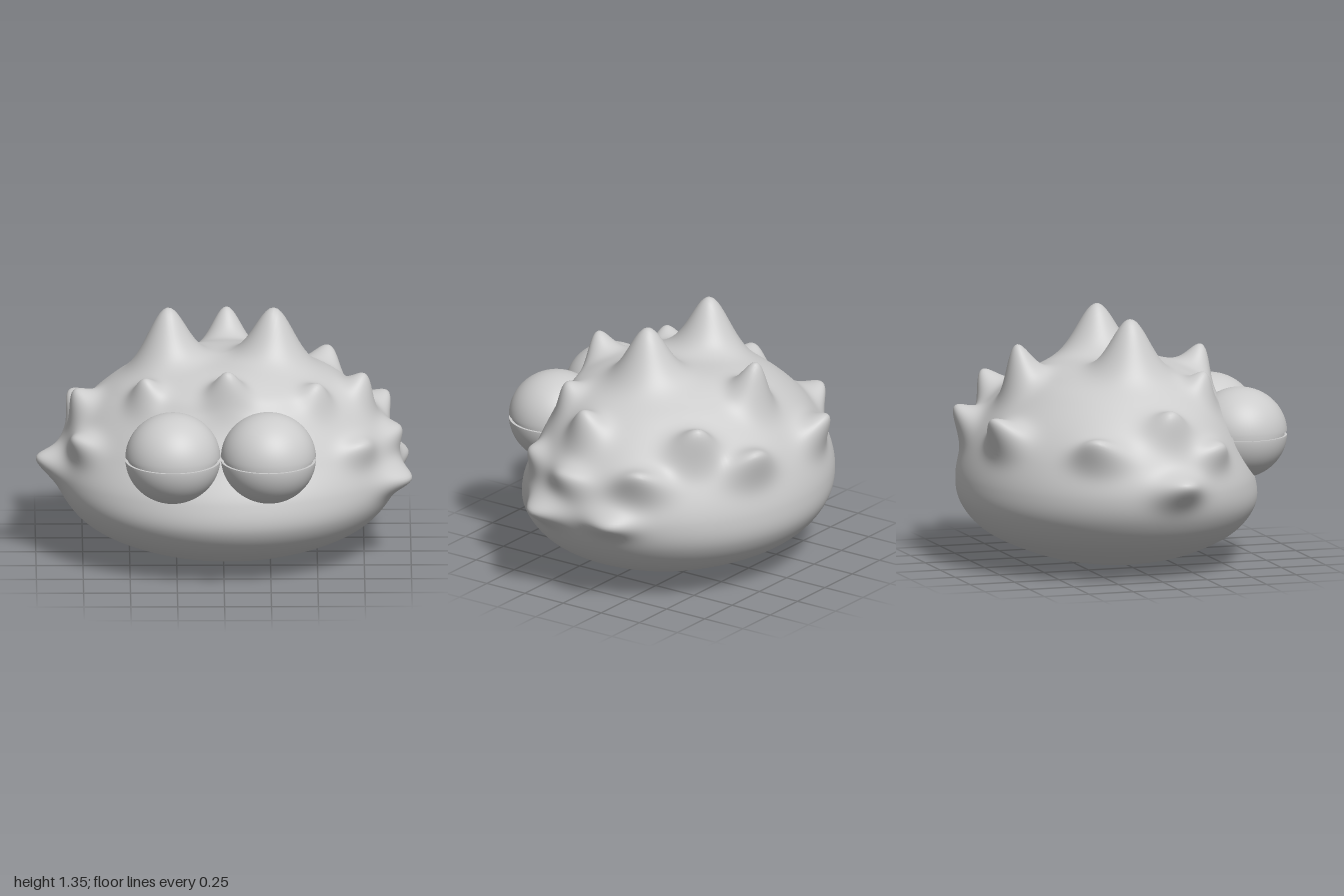
import * as THREE from 'three';
import { mergeVertices } from 'three/addons/utils/BufferGeometryUtils.js';

const MID_X = 0.022, MID_Z = -0.03;

// Body rows from top to bottom: half width, height, depth to front, depth to back
const ROWS = [
  [0, 1.09, 0, 0], [0.3, 1.075, 0.29, 0.29], [0.53, 1.0, 0.475, 0.46],
  [0.67, 0.91, 0.55, 0.58], [0.79, 0.79, 0.605, 0.69], [0.88, 0.64, 0.67, 0.775],
  [0.92, 0.47, 0.745, 0.82], [0.875, 0.32, 0.755, 0.8], [0.745, 0.18, 0.65, 0.68],
  [0.52, 0.075, 0.45, 0.46], [0.26, 0.015, 0.23, 0.23], [0, 0, 0, 0],
];

// Spikes: tip x, y, z, spread sideways, spread in height, and how far below the tip the root is sought
const SPIKES = [
  [-0.3, 1.35, -0.03, 0.1, 0.1, 0.28], [0.27, 1.35, -0.03, 0.1, 0.1, 0.28], // big horns
  [0.02, 1.19, -0.57, 0.075, 0.075, 0.16], [0.02, 1.14, 0.48, 0.065, 0.065, 0.1], // middle pair
  [-0.43, 1.06, 0.35, 0.06, 0.06, 0.08], [0.51, 1.025, 0.34, 0.06, 0.06, 0.06], // shoulders
  [-0.8, 0.91, 0.04, 0.075, 0.06, 0.07], [0.76, 1.0, 0.05, 0.075, 0.06, 0.08],
  [0.57, 0.97, -0.58, 0.08, 0.06, 0.08],
  [-0.8, 0.72, 0.32, 0.08, 0.05, 0.03], [0.76, 0.71, 0.4, 0.08, 0.05, 0.02], // upper ring
  [0.95, 0.7, 0.05, 0.095, 0.05, 0.02], [0.88, 0.77, -0.4, 0.09, 0.05, 0.04],
  [-0.82, 0.78, -0.4, 0.09, 0.05, 0.05],
  [-0.3, 0.84, -0.81, 0.095, 0.055, 0.06], [0.34, 0.82, -0.81, 0.095, 0.055, 0.06],
  [-1.0, 0.545, 0.07, 0.09, 0.055, 0.02], [1.0, 0.47, 0.22, 0.1, 0.05, 0.0], // lower ring
  [0.985, 0.48, -0.27, 0.1, 0.05, 0.0],
];

function makeBody() {
  const curve = (k) => new THREE.CatmullRomCurve3(
    ROWS.map((r) => new THREE.Vector3(r[0], r[1], r[k])), false, 'catmullrom');
  const front = curve(2), back = curve(3);
  const cols = 240, rows = 150;
  const geo = new THREE.SphereGeometry(1, cols, rows);
  const pos = geo.attributes.position;
  const base = [];

  // Wrap the sphere around the rows, with a half ellipse in front and behind
  const f = new THREE.Vector3(), b = new THREE.Vector3();
  for (let i = 0; i < pos.count; i++) {
    const t = Math.floor(i / (cols + 1)) / rows;
    const a = ((i % (cols + 1)) % cols) / cols * Math.PI * 2;
    front.getPoint(t, f);
    back.getPoint(t, b);
    const s = Math.sin(a);
    base.push(new THREE.Vector3(
      MID_X - Math.cos(a) * f.x, f.y, MID_Z + s * (s > 0 ? f.z : b.z)));
  }

  // Pull each spike out of the skin with a bell-shaped falloff
  const out = base.map((p) => p.clone());
  for (const [x, y, z, side, height, drop] of SPIKES) {
    const tip = new THREE.Vector3(x, y, z);
    const seek = new THREE.Vector3(x, y - drop, z);
    let root = base[0];
    for (const p of base) {
      if (p.distanceToSquared(seek) < root.distanceToSquared(seek)) root = p;
    }
    const pull = tip.sub(root);
    base.forEach((p, i) => {
      const h = Math.hypot(p.x - root.x, p.z - root.z) / side;
      const v = (p.y - root.y) / height;
      out[i].addScaledVector(pull, Math.exp(-(h * h + v * v) / 2));
    });
  }
  out.forEach((p, i) => pos.setXYZ(i, p.x, p.y, p.z));

  // Weld the seam so the shading stays smooth
  geo.deleteAttribute('uv');
  geo.deleteAttribute('normal');
  const welded = mergeVertices(geo, 1e-5);
  welded.computeVertexNormals();
  return welded;
}

// Half ball, open at its flat side, with a rim turned in to the groove
function makeLid(radius, gap, upper) {
  const start = Math.asin(gap / radius);
  const rim = radius * Math.cos(start);
  // The doubled corner keeps the rim sharp
  const points = [new THREE.Vector2(0.21, gap), new THREE.Vector2(rim - 0.001, gap)];
  for (let i = 0; i <= 24; i++) {
    const a = start + (Math.PI / 2 - start) * i / 24;
    points.push(new THREE.Vector2(Math.max(0, radius * Math.cos(a)), radius * Math.sin(a)));
  }
  if (!upper) {
    points.forEach((p) => { p.y = -p.y; });
    points.reverse();
  }
  return new THREE.LatheGeometry(points, 64);
}

export function createModel() {
  const model = new THREE.Group();
  const grey = new THREE.MeshStandardMaterial({ color: 0xcccccc });
  const add = (parent, name, geo) => {
    const mesh = new THREE.Mesh(geo, grey);
    mesh.name = name;
    parent.add(mesh);
  };

  add(model, 'spikyBody', makeBody());

  // Eyes: a ball held between an upper and a lower lid
  const ball = new THREE.SphereGeometry(0.24, 48, 32);
  const upperLid = makeLid(0.254, 0.012, true);
  const lowerLid = makeLid(0.254, 0.012, false);
  for (const [name, x] of [['rightEye', -0.273], ['leftEye', 0.236]]) {
    const eye = new THREE.Group();
    eye.name = name;
    eye.position.set(x, 0.704, 0.592);
    eye.scale.y = 0.96;
    add(eye, 'eyeball', ball);
    add(eye, 'upperLid', upperLid);
    add(eye, 'lowerLid', lowerLid);
    model.add(eye);
  }
  return model;
}
